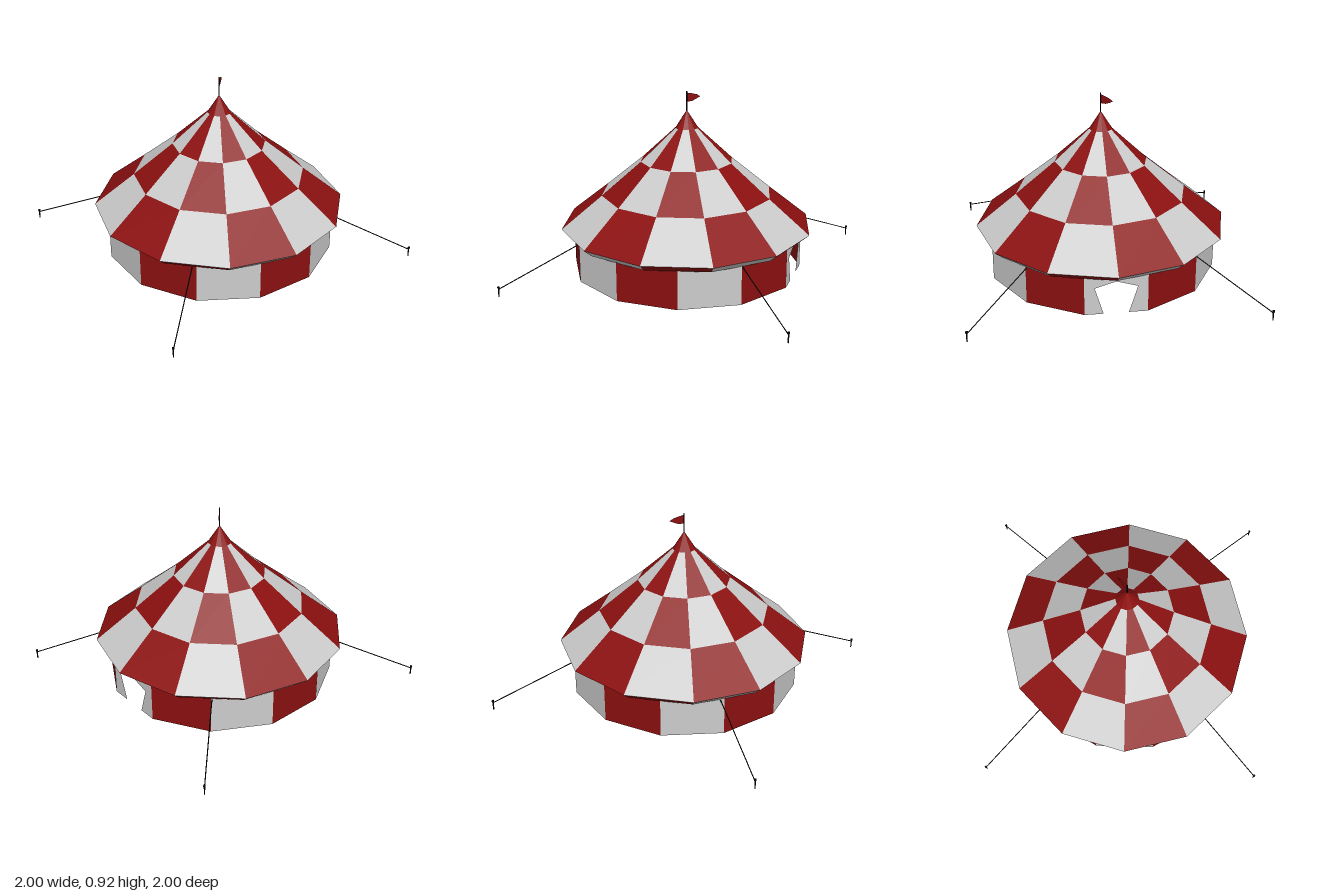
import * as THREE from 'three';

const SIDES = 12, STEP = (Math.PI * 2) / SIDES;
const CENTRE = 0.01; // tent sits slightly off the peg centre

const cloth = (color) => new THREE.MeshStandardMaterial({ color, flatShading: true, side: THREE.DoubleSide });
const red = cloth(0x8c1010), white = cloth(0xcccccc);
const dark = new THREE.MeshStandardMaterial({ color: 0x0c0c0c });

// Point on a ring, angle 0 faces the front (+z)
const ringPoint = ([r, y], a) => [r * Math.sin(a), y, r * Math.cos(a)];

// One band of flat cloth panels between two rings, split into a red and a white mesh
function band(name, low, high, start, isRed, skip = -1) {
  const group = new THREE.Group();
  group.name = name;
  const points = { red: [], white: [] };
  for (let k = 0; k < SIDES; k++) {
    if (k === skip) continue;
    const a0 = start + k * STEP, a1 = a0 + STEP;
    const a = ringPoint(low, a0), b = ringPoint(low, a1);
    const c = ringPoint(high, a1), d = ringPoint(high, a0);
    const list = isRed(k) ? points.red : points.white;
    list.push(...a, ...b, ...c);
    if (high[0] > 0) list.push(...a, ...c, ...d);
  }
  for (const [tint, material] of [['red', red], ['white', white]]) {
    if (!points[tint].length) continue;
    const geometry = new THREE.BufferGeometry();
    geometry.setAttribute('position', new THREE.Float32BufferAttribute(points[tint], 3));
    geometry.computeVertexNormals();
    const mesh = new THREE.Mesh(geometry, material);
    mesh.name = `${tint}${name[0].toUpperCase()}${name.slice(1)}`;
    group.add(mesh);
  }
  return group;
}

// Thin straight rod between two points
function rod(name, from, to, radius, material) {
  const curve = new THREE.LineCurve3(from, to);
  const mesh = new THREE.Mesh(new THREE.TubeGeometry(curve, 1, radius, 6), material);
  mesh.name = name;
  return mesh;
}

// Flat cloth cut from an outline
function cutCloth(name, outline, material) {
  const shape = new THREE.Shape(outline.map(([x, y]) => new THREE.Vector2(x, y)));
  const mesh = new THREE.Mesh(new THREE.ShapeGeometry(shape), material);
  mesh.name = name;
  return mesh;
}

export function createModel() {
  const model = new THREE.Group();
  model.name = 'tent';
  const tent = new THREE.Group();
  tent.name = 'canvas';
  tent.position.set(CENTRE, 0, CENTRE);
  model.add(tent);

  // Chequered roof with an inward-folded valance below it
  const rings = [[0.597, 0.2], [0.637, 0.235], [0.432, 0.4], [0.233, 0.565], [0.057, 0.73]];
  for (let i = 0; i < rings.length - 1; i++) {
    const name = i === 0 ? 'valance' : `roofBand${i}`;
    tent.add(band(name, rings[i], rings[i + 1], -STEP / 2, (k) => (k + i) % 2 === 0));
  }
  tent.add(band('roofCap', rings[4], [0, 0.82], -STEP / 2, () => true));

  // Striped wall, with one panel left out for the doorway
  const wallRadius = 0.582, floor = 0.01, top = 0.21, doorPanel = 4;
  tent.add(band('wall', [wallRadius, floor], [wallRadius, top], 0, (k) => k % 2 === 1, doorPanel));

  // Doorway panel with a peaked opening
  const half = wallRadius * Math.sin(STEP / 2), apothem = wallRadius * Math.cos(STEP / 2);
  const doorway = cutCloth('doorwayPanel', [
    [-half, floor], [-0.06, floor], [-0.102, 0.147], [0, 0.177], [0.102, 0.147], [0.06, floor],
    [half, floor], [half, top], [-half, top],
  ], white);
  const doorAngle = (doorPanel + 0.5) * STEP;
  doorway.rotation.y = doorAngle;
  doorway.position.set(apothem * Math.sin(doorAngle), 0, apothem * Math.cos(doorAngle));
  tent.add(doorway);

  // Flagpole and pennant flying to the back
  tent.add(rod('flagpole', new THREE.Vector3(0, 0.8, 0), new THREE.Vector3(0, 0.915, 0), 0.003, dark));
  const flag = cutCloth('flag', [
    [0, 0.86], [0.03, 0.862], [0.055, 0.872], [0.075, 0.882], [0.055, 0.893], [0.03, 0.9], [0, 0.906],
  ], red);
  flag.rotation.y = Math.PI / 2;
  tent.add(flag);

  // Four guy ropes with headed pegs
  for (let i = 0; i < 4; i++) {
    const guy = new THREE.Group();
    guy.name = `guyLine${i + 1}`;
    const a = (i * Math.PI) / 2;
    const side = i === 0 || i === 3 ? -0.01 : 0.005;
    const across = i % 2 === 0 ? new THREE.Vector3(side, 0, 0) : new THREE.Vector3(0, 0, i === 3 ? side : 0.005);
    const at = (r, y) => new THREE.Vector3(r * Math.sin(a), y, r * Math.cos(a)).add(across);
    const reach = i < 2 ? 0.59 : 0.57;
    guy.add(rod('rope', at(0.995, 0.038), at(reach, 0.197), 0.0025, dark));
    const peg = new THREE.Mesh(new THREE.CylinderGeometry(0.004, 0.003, 0.05, 6), dark);
    peg.name = 'peg';
    peg.position.copy(at(0.994, 0.025));
    const head = new THREE.Mesh(new THREE.CylinderGeometry(0.006, 0.006, 0.008, 6), dark);
    head.name = 'pegHead';
    head.position.copy(at(0.994, 0.048));
    guy.add(peg, head);
    model.add(guy);
  }
  return model;
}
